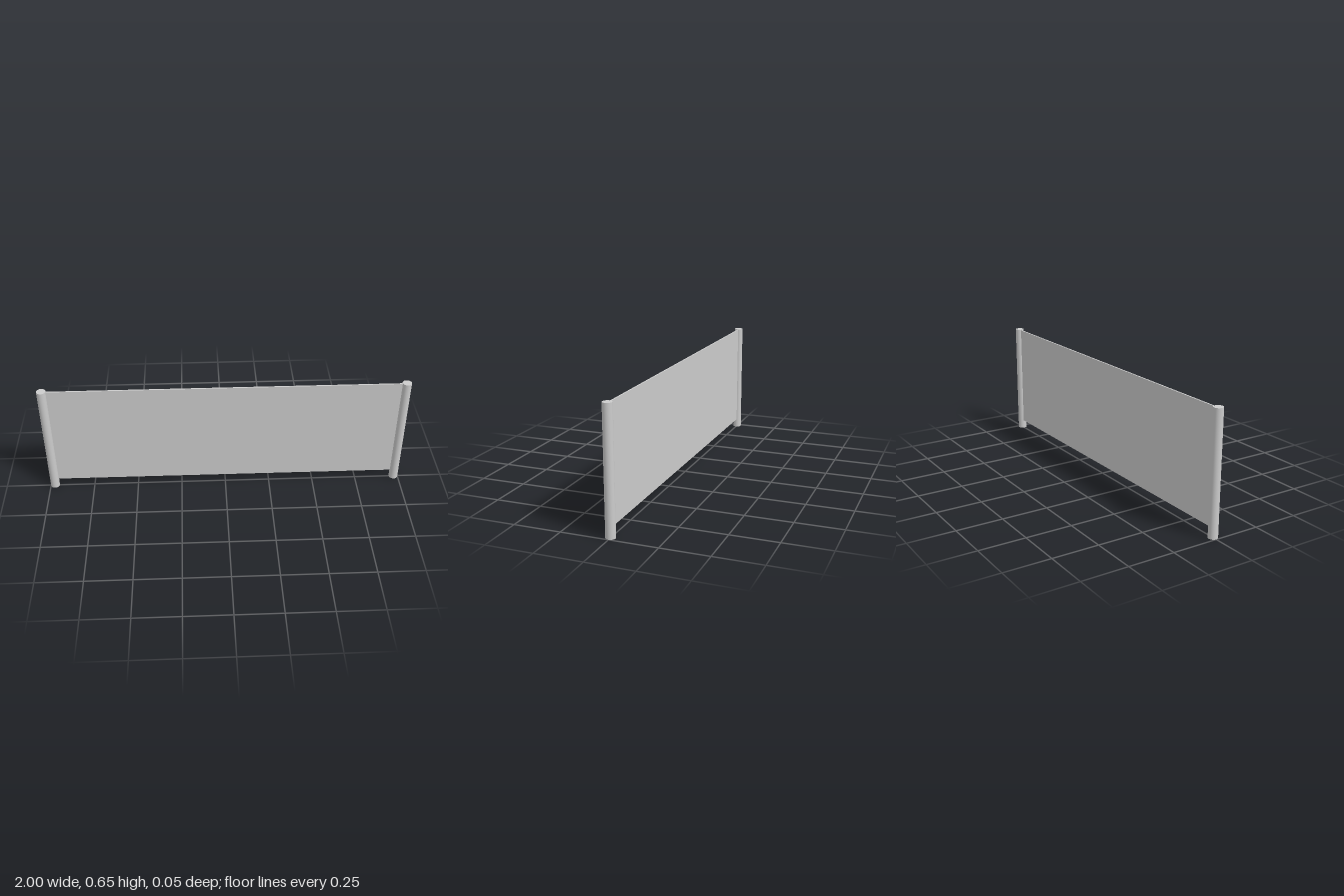
import * as THREE from 'three';

const POST_RADIUS = 0.025;
const POST_HEIGHT = 0.652;
const POST_X = 1 - POST_RADIUS;
const PANEL_BOTTOM = 0.05;
const PANEL_TOP = 0.648;
const PANEL_THICKNESS = 0.008;

export function createModel() {
  const group = new THREE.Group();
  group.name = 'barrierPanel';
  const material = new THREE.MeshStandardMaterial({ color: 0xcccccc });

  // Round end posts
  const postGeometry = new THREE.CylinderGeometry(POST_RADIUS, POST_RADIUS, POST_HEIGHT, 32);
  for (const [name, side] of [['leftPost', 1], ['rightPost', -1]]) {
    const post = new THREE.Mesh(postGeometry, material);
    post.name = name;
    post.position.set(side * POST_X, POST_HEIGHT / 2, 0);
    group.add(post);
  }

  // Thin sheet between the post centres, raised off the ground
  const panel = new THREE.Mesh(
    new THREE.BoxGeometry(2 * POST_X, PANEL_TOP - PANEL_BOTTOM, PANEL_THICKNESS),
    material
  );
  panel.name = 'panel';
  panel.position.y = (PANEL_TOP + PANEL_BOTTOM) / 2;
  group.add(panel);

  return group;
}
